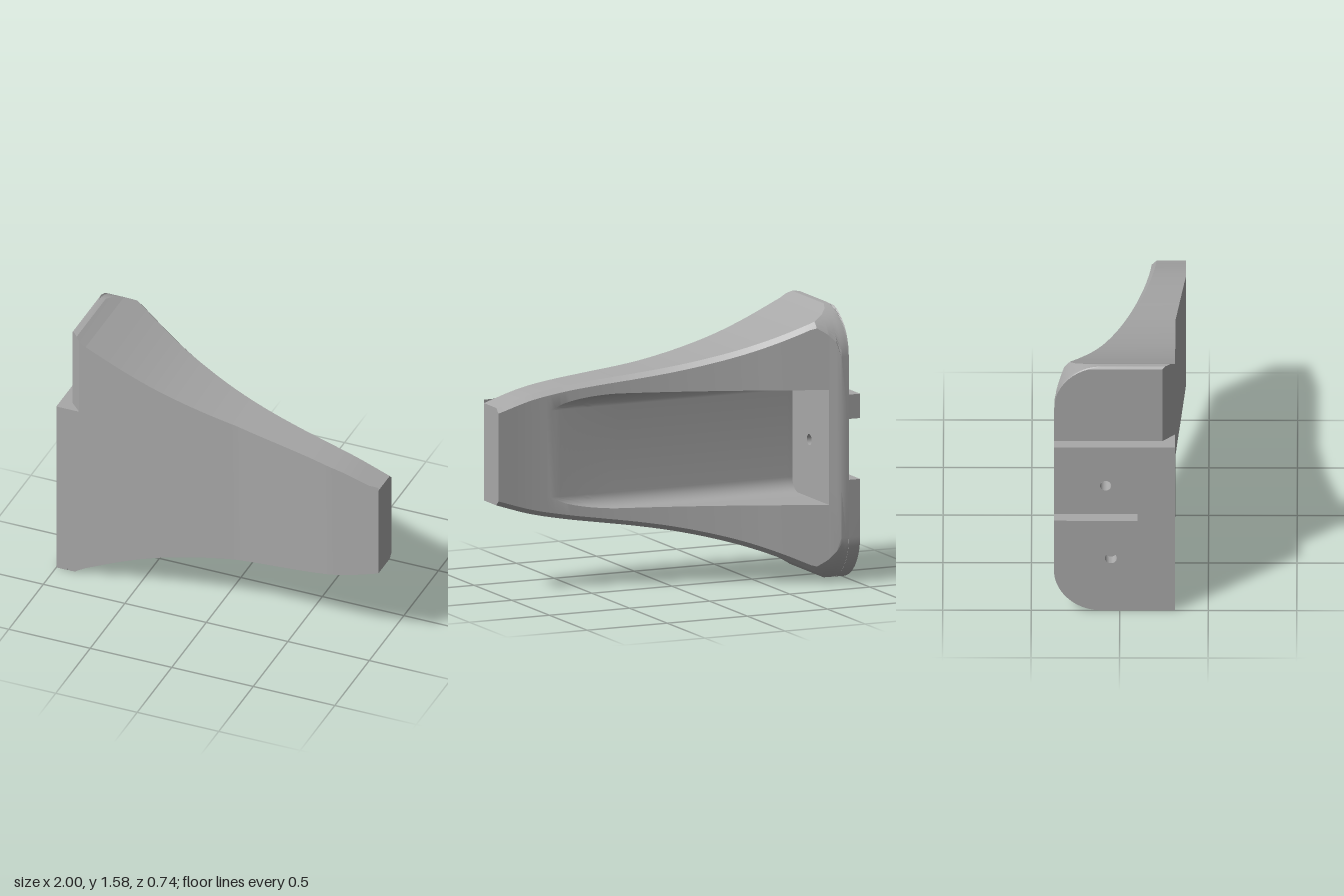
import * as THREE from 'three';
import { toCreasedNormals } from 'three/addons/utils/BufferGeometryUtils.js';

const MID = 0.79;          // height of the symmetry plane
const X0 = -0.93, XW = -0.82; // mounting face and inner end wall of the recess
const FLOOR = 0.145, R = 0.08, CAVITY = 0.25; // recess floor, fillet, flat half width
const HOLE_Z = -0.08, HOLE_R = 0.032;

// Upper half of the recess profile, from its mouth to its floor
function cavityProfile(b, hollow) {
  const c = hollow ? Math.max(b, FLOOR) : b;
  const s = Math.asin(THREE.MathUtils.clamp((b - c + R) / R, 0, 1));
  const pts = [[b, CAVITY + R * Math.cos(s)]];
  for (let i = 0; i <= 8; i++) {
    const a = s + (Math.PI / 2 - s) * i / 8;
    pts.push([c - R + R * Math.sin(a), CAVITY + R * Math.cos(a)]);
  }
  return pts;
}

// Outer back corner: a chamfer, or the large mounting end radius where that cuts in
function cornerProfile(h, b) {
  const n = 10, ch = 0.028, cz = -0.1, cv = 0.52, r = 0.27, pts = [];
  const cut = b < cz && h > cv && Math.hypot(b + ch / 2 - cz, h - ch / 2 - cv) > r;
  const a0 = Math.acos(Math.min(1, (cz - b) / r)), a1 = Math.asin(Math.min(1, (h - cv) / r));
  for (let i = 0; i <= n; i++) {
    const t = i / n, a = a1 + (a0 - a1) * t;
    pts.push(cut ? [cz - r * Math.cos(a), cv + r * Math.sin(a)] : [b + ch * (1 - t), h - ch * t]);
  }
  return pts;
}

// Closed cross-section at x as [z, height from middle]
function section(x, h, b, hollow) {
  const f = 0.312 + 0.058 * THREE.MathUtils.clamp((x - 0.1) / 0.6, 0, 1);
  const fc = Math.min(f, 0.312 + (x + 0.86)); // bevel above the plate
  const half = [...cornerProfile(h, b), ...cavityProfile(b, hollow)];
  const low = half.map(([z, v]) => [z, -v]).reverse();
  return [[f, -h], [f, 0.3], [fc, 0.3], [fc, h], ...half, ...low];
}

function loft(stations) {
  const rings = stations.map(([x, h, b, hollow]) => section(x, h, b, hollow).map(([z, v]) => [x, MID + v, z]));
  const n = rings[0].length, index = [];
  for (let i = 0; i < rings.length - 1; i++) {
    for (let j = 0; j < n; j++) {
      const k = (j + 1) % n, a = i * n + j, b = i * n + k;
      index.push(a, a + n, b, b, a + n, b + n);
    }
  }
  const g = new THREE.BufferGeometry();
  g.setAttribute('position', new THREE.Float32BufferAttribute(rings.flat(2), 3));
  g.setIndex(index);
  return toCreasedNormals(g, 0.4);
}

// Shapes are drawn with -z to the right, then turned to face along x
const shapeOf = (pts) => new THREE.Shape(
  pts.filter((p, i) => i === 0 || Math.hypot(p[0] - pts[i - 1][0], p[1] - pts[i - 1][1]) > 1e-4)
    .map(([z, v]) => new THREE.Vector2(-z, MID + v)));

function addHole(shape, z, y, r) {
  const p = new THREE.Path();
  p.absarc(-z, y, r, 0, Math.PI * 2, true);
  shape.holes.push(p);
  return shape;
}

function flatFace(shape, x) {
  const g = new THREE.ShapeGeometry(shape, 16);
  g.rotateY(Math.PI / 2);
  g.translate(x, 0, 0);
  return g;
}

export function createModel() {
  const group = new THREE.Group();
  const grey = new THREE.MeshStandardMaterial({ color: 0xa8a8a8, side: THREE.DoubleSide });
  grey.name = 'grey';
  const add = (name, geometry) => {
    const m = new THREE.Mesh(geometry, grey);
    m.name = name;
    group.add(m);
  };

  // Solid mounting end: x, half height, back z
  const root = [[X0, 0.78, -0.372], [-0.915, 0.79, -0.372], [-0.885, 0.788, -0.37],
    [-0.86, 0.772, -0.358], [XW, 0.748, -0.34]];
  add('mountingEnd', loft(root));

  // Hollow tapering arm
  const arm = new THREE.CatmullRomCurve3([
    [XW, 0.748, -0.34], [-0.6, 0.648, -0.25], [-0.4, 0.572, -0.165], [-0.2, 0.515, -0.088],
    [0, 0.471, -0.018], [0.2, 0.438, 0.043], [0.4, 0.411, 0.095], [0.6, 0.382, 0.135],
    [0.8, 0.342, 0.162], [1, 0.28, 0.176],
  ].map((p) => new THREE.Vector3(...p)), false, 'catmullrom', 0.5);
  const stations = arm.getPoints(63).map((p) => [p.x, p.y, p.z, true]);
  add('arm', loft(stations));
  add('armTip', flatFace(shapeOf(section(...stations[63])), 1));

  // Mounting face and recess end wall, joined by the through hole
  add('mountingFace', flatFace(addHole(shapeOf(section(...root[0])), HOLE_Z, MID, HOLE_R), X0));
  const mouth = cavityProfile(-0.34, true);
  const wall = [...mouth, ...mouth.map(([z, v]) => [z, -v]).reverse()];
  add('recessEndWall', flatFace(addHole(shapeOf(wall), HOLE_Z, MID, HOLE_R), XW));
  const bore = new THREE.CylinderGeometry(HOLE_R, HOLE_R, XW - X0, 24, 1, true);
  bore.rotateZ(Math.PI / 2);
  bore.translate((X0 + XW) / 2, MID, HOLE_Z);
  add('throughHole', bore);

  // Mounting plate with open slot, rounded lower corner and screw hole
  const s = new THREE.Shape();
  s.moveTo(-0.312, 0);
  s.lineTo(0.1, 0);
  s.absarc(0.1, 0.272, 0.272, -Math.PI / 2, 0, false);
  for (const [x, y] of [[0.372, 0.6], [-0.1, 0.6], [-0.1, 0.95], [0.372, 0.95], [0.372, 1.09], [-0.312, 1.09]]) s.lineTo(x, y);
  s.closePath();
  addHole(s, -0.05, 0.35, 0.034);
  const plate = new THREE.ExtrudeGeometry(s, { depth: X0 + 1, bevelEnabled: false, curveSegments: 16 });
  plate.rotateY(Math.PI / 2);
  plate.translate(-1, 0, 0);
  add('mountingPlate', toCreasedNormals(plate, 0.4));

  return group;
}
